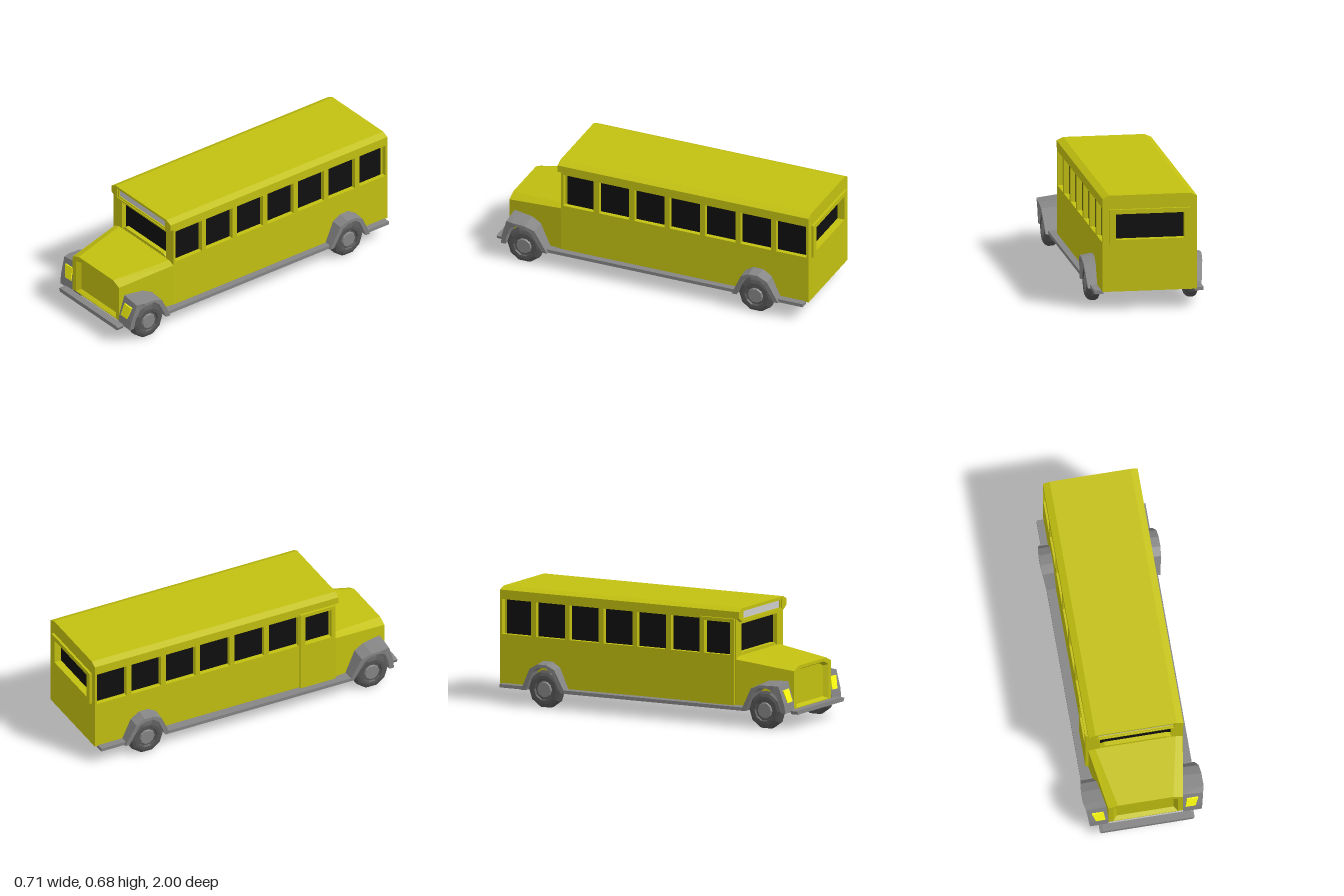
import * as THREE from 'three';

const mat = (color) => new THREE.MeshStandardMaterial({ color, flatShading: true });

export function createModel() {
  const bus = new THREE.Group();
  const yellow = mat(0xc2c010), grey = mat(0x858585), rubber = mat(0x555555);
  const black = mat(0x0f0f0f), lamp = mat(0xffff11), pale = mat(0xcccccc);

  const add = (name, geometry, material) => {
    const mesh = new THREE.Mesh(geometry, material);
    mesh.name = name;
    bus.add(mesh);
    return mesh;
  };

  // Box given by its limits on each axis
  const box = (name, x0, x1, y0, y1, z0, z1, material) =>
    add(name, new THREE.BoxGeometry(x1 - x0, y1 - y0, z1 - z0)
      .translate((x0 + x1) / 2, (y0 + y1) / 2, (z0 + z1) / 2), material);

  const rect = (a0, a1, b0, b1) => [[a0, b0], [a1, b0], [a1, b1], [a0, b1]];
  const vec = (pts) => pts.map(([a, b]) => new THREE.Vector2(a, b));

  // Outline with holes, extruded from z0 to z1
  const slab = (outline, holes, z0, z1) => {
    const shape = new THREE.Shape(vec(outline));
    shape.holes = holes.map((h) => new THREE.Path(vec(h)));
    return new THREE.ExtrudeGeometry(shape, { depth: z1 - z0, bevelEnabled: false }).translate(0, 0, z0);
  };
  // Same, but the outline is in (-z, y) and the extrusion runs along x
  const sideSlab = (outline, holes, x0, x1) => slab(outline, holes, x0, x1).rotateY(Math.PI / 2);

  // Skin over successive cross-sections (counter-clockwise seen from the end), with caps
  const loft = (sections) => {
    const pos = [];
    const tri = (a, b, c) => pos.push(...a, ...b, ...c);
    const n = sections[0].length;
    for (let i = 0; i + 1 < sections.length; i++) {
      const s = sections[i], t = sections[i + 1];
      for (let j = 0; j < n; j++) {
        const k = (j + 1) % n;
        tri(s[j], s[k], t[k]);
        tri(s[j], t[k], t[j]);
      }
    }
    const first = sections[0], last = sections[sections.length - 1];
    for (let j = 1; j + 1 < n; j++) {
      tri(first[0], first[j + 1], first[j]);
      tri(last[0], last[j], last[j + 1]);
    }
    const g = new THREE.BufferGeometry();
    g.setAttribute('position', new THREE.Float32BufferAttribute(pos, 3));
    g.computeVertexNormals();
    return g;
  };
  const mirrored = (section, s) =>
    s > 0 ? section : section.map(([x, y, z]) => [-x, y, z]).reverse();

  // Side walls with seven recessed windows
  const windows = [];
  for (let i = 0; i < 7; i++) {
    const u = -0.575 + i * 0.2255;
    windows.push(rect(u, u + 0.193, 0.41, 0.615));
  }
  const wall = rect(-0.59, 0.985, 0.115, 0.65);
  add('leftWall', sideSlab(wall, windows, 0.25, 0.28), yellow);
  add('rightWall', sideSlab(wall, windows, -0.28, -0.25), yellow);

  // Front and back walls, floor, roof and the dark glazing inside
  add('frontWall', slab(rect(-0.25, 0.25, 0.115, 0.65), [rect(-0.21, 0.21, 0.405, 0.59)], 0.56, 0.59), yellow);
  const rearHole = rect(-0.203, 0.203, 0.425, 0.578);
  add('backWall', slab(rect(-0.25, 0.25, 0.115, 0.65), [rearHole], -0.985, -0.955), yellow);
  add('backWindowFrame', slab(rect(-0.24, 0.24, 0.395, 0.605), [rearHole], -1, -0.98), yellow);
  box('floor', -0.25, 0.25, 0.115, 0.14, -0.955, 0.56, yellow);
  add('roof', slab([[-0.28, 0.65], [0.28, 0.65], [0.28, 0.67], [0.24, 0.688], [-0.24, 0.688], [-0.28, 0.67]],
    [], -0.985, 0.59), yellow);
  box('glazing', -0.251, 0.251, 0.38, 0.64, -0.956, 0.561, black);
  add('windshieldSill', slab([[-0.21, 0.4], [0.21, 0.4], [0.21, 0.405], [0.18, 0.422], [-0.18, 0.422], [-0.21, 0.405]],
    [], 0.56, 0.588), yellow);

  // Passenger door standing proud of the right wall
  add('door', sideSlab(rect(-0.585, -0.355, 0.12, 0.628), [rect(-0.56, -0.387, 0.415, 0.607)], -0.295, -0.27), yellow);

  // Sign box above the windshield
  add('signBox', slab(
    [[-0.24, 0.605], [0.24, 0.605], [0.28, 0.63], [0.28, 0.67], [0.24, 0.688], [-0.24, 0.688], [-0.28, 0.67], [-0.28, 0.63]],
    [rect(-0.228, 0.228, 0.615, 0.675)], 0.588, 0.612), yellow);
  add('signFrame', slab(rect(-0.228, 0.228, 0.615, 0.675), [rect(-0.22, 0.22, 0.623, 0.667)], 0.588, 0.605), yellow);
  box('signPanel', -0.221, 0.221, 0.622, 0.668, 0.588, 0.597, pale);

  // Tapering hood whose nose folds in to a recessed grille panel
  const hoodSection = (z, w, c, y0, y1, y2) =>
    [[w, y0, z], [w, y1, z], [c, y2, z], [-c, y2, z], [-w, y1, z], [-w, y0, z]];
  add('hood', loft([
    hoodSection(0.58, 0.28, 0.24, 0.115, 0.39, 0.405),
    hoodSection(0.945, 0.22, 0.163, 0.115, 0.34, 0.365),
    hoodSection(0.945, 0.19, 0.135, 0.12, 0.322, 0.346),
    hoodSection(0.92, 0.168, 0.122, 0.134, 0.315, 0.335),
  ]), yellow);

  // Front bumper
  add('bumper', slab(
    [[-0.27, 0.095], [0.27, 0.095], [0.28, 0.115], [0.26, 0.12], [-0.26, 0.12], [-0.28, 0.115]], [], 0.955, 1), grey);

  // Fender stations: outer z, outer y, inner z, inner y, near x, far x, drop of the far edge
  const frontArch = [
    [0.655, 0.1, 0.685, 0.1, 0.25, 0.335, 0],
    [0.73, 0.25, 0.748, 0.215, 0.24, 0.35, 0.01],
    [0.79, 0.277, 0.785, 0.248, 0.23, 0.355, 0.014],
    [0.87, 0.281, 0.845, 0.248, 0.225, 0.355, 0.014],
    [0.91, 0.281, 0.885, 0.225, 0.222, 0.345, 0.016],
    [0.943, 0.16, 0.912, 0.16, 0.22, 0.335, 0],
    [0.95, 0.105, 0.92, 0.105, 0.22, 0.33, 0],
  ];
  const rearArch = [
    [-0.815, 0.1, -0.785, 0.1, 0.27, 0.335, 0],
    [-0.75, 0.24, -0.73, 0.215, 0.27, 0.35, 0.008],
    [-0.695, 0.275, -0.69, 0.245, 0.27, 0.355, 0.012],
    [-0.635, 0.275, -0.64, 0.245, 0.27, 0.355, 0.012],
    [-0.585, 0.245, -0.602, 0.215, 0.27, 0.35, 0.008],
    [-0.52, 0.1, -0.55, 0.1, 0.27, 0.335, 0],
  ];
  const fender = (arch, s) => loft(arch.map(([zo, yo, zi, yi, xn, xf, drop]) =>
    mirrored([[xn, yi, zi], [xf, yi, zi], [xf, yo - drop, zo], [xn, yo, zo]], s)));

  // Ten-sided tyre with bevelled shoulders, and a stepped hub
  const tyreGeometry = new THREE.LatheGeometry(vec(
    [[0, -0.04], [0.085, -0.04], [0.103, -0.032], [0.112, -0.015], [0.112, 0.015], [0.103, 0.032],
      [0.085, 0.04], [0.066, 0.04], [0.06, 0.03], [0, 0.03]]), 10);
  const hubGeometry = new THREE.CylinderGeometry(0.044, 0.052, 0.016, 10).translate(0, 0.032, 0);

  for (const s of [1, -1]) {
    const side = s > 0 ? 'left' : 'right';
    add(side + 'FrontFender', fender(frontArch, s), grey);
    add(side + 'RearFender', fender(rearArch, s), grey);

    // Headlight lying on the sloping fender front
    const lampFace = (dz) => mirrored([
      [0.236, 0.165, 0.946 + dz], [0.294, 0.163, 0.946 + dz], [0.314, 0.237, 0.927 + dz], [0.247, 0.24, 0.927 + dz],
    ], s);
    add(side + 'Headlight', loft([lampFace(-0.02), lampFace(0)]), lamp);

    // Running board and the short rail behind the rear wheel
    const reach = s > 0 ? 0.32 : 0.335;
    const span = (a, b) => [Math.min(s * a, s * b), Math.max(s * a, s * b)];
    box(side + 'RunningBoard', ...span(0.27, reach), 0.1, 0.12, -0.53, 0.67, grey);
    box(side + 'RearRail', ...span(0.27, 0.322), 0.1, 0.12, -0.965, -0.8, grey);

    for (const [end, z] of [['Front', 0.808], ['Rear', -0.665]]) {
      const wheel = new THREE.Group();
      wheel.name = side + end + 'Wheel';
      for (const [name, g, m] of [['tyre', tyreGeometry, rubber], ['hub', hubGeometry, grey]]) {
        const part = new THREE.Mesh(g, m);
        part.name = name;
        wheel.add(part);
      }
      wheel.rotation.z = -s * Math.PI / 2;
      wheel.position.set(s * 0.289, 0.112, z);
      bus.add(wheel);
    }
  }
  return bus;
}
